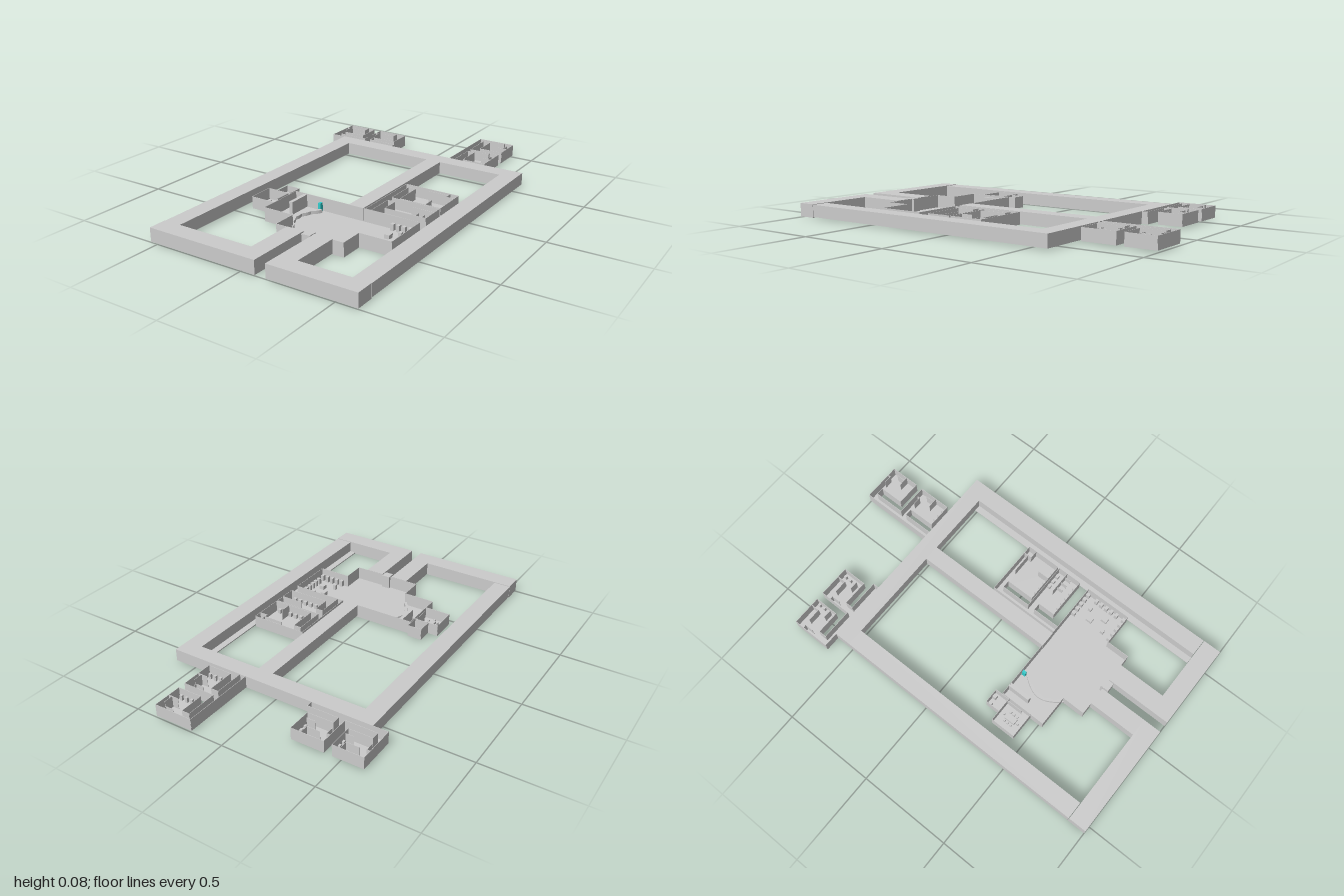
import * as THREE from 'three';

const grey = new THREE.MeshStandardMaterial({ color: 0xcccccc, flatShading: true, side: THREE.DoubleSide });
const cyan = new THREE.MeshStandardMaterial({ color: 0x33cccc });
const TOP = 0.074;

export function createModel() {
  const model = new THREE.Group();
  model.name = 'facility';
  let parent = model;

  const add = (name, geometry, material = grey) => {
    const mesh = new THREE.Mesh(geometry, material);
    mesh.name = name;
    parent.add(mesh);
    return mesh;
  };
  // box given by its plan rectangle and its bottom and top heights
  const block = (name, x0, x1, z0, z1, y0 = 0.009, y1 = TOP, material = grey) =>
    add(name, new THREE.BoxGeometry(x1 - x0, y1 - y0, z1 - z0), material)
      .position.set((x0 + x1) / 2, (y0 + y1) / 2, (z0 + z1) / 2);
  // thin upright wall between two plan points
  const wall = (name, [x0, z0], [x1, z1], y0 = 0.01, y1 = TOP) => {
    const length = Math.hypot(x1 - x0, z1 - z0);
    const mesh = add(name, new THREE.BoxGeometry(length, y1 - y0, 0.002));
    mesh.position.set((x0 + x1) / 2, (y0 + y1) / 2, (z0 + z1) / 2);
    mesh.rotation.y = -Math.atan2(z1 - z0, x1 - x0);
  };
  // flat slab from a plan outline
  const slab = (name, points, y0, height) => {
    const shape = new THREE.Shape(points.map(([x, z]) => new THREE.Vector2(x, -z)));
    const geometry = new THREE.ExtrudeGeometry(shape, { depth: height, bevelEnabled: false });
    add(name, geometry.rotateX(-Math.PI / 2).translate(0, y0, 0));
  };
  // roofless wing: floor with walls along its outline
  const wing = (name, points, y0 = 0.01) => {
    parent = new THREE.Group();
    parent.name = name;
    model.add(parent);
    slab('floor', points, y0, 0.004);
    points.forEach((p, i) => wall('outerWall', p, points[(i + 1) % points.length], y0));
  };
  const furniture = (name, x, z, w, d, h, base = 0.012) =>
    block(name, x - w / 2, x + w / 2, z - d / 2, z + d / 2, base, base + h);

  // roofed corridors forming the outer ring
  block('leftCorridor', -0.54, -0.447, -0.51, 0.9);
  block('backCorridor', -0.54, 0.613, -0.6, -0.51);
  block('rightCorridor', 0.52, 0.613, -0.51, 0.9);
  block('rightLedge', 0.485, 0.52, -0.51, 0.9, 0.009, 0.014);
  block('centreCorridor', 0.075, 0.16, -0.51, 0.27);
  block('frontLeftCorridor', -0.54, 0.08, 0.903, 1, 0.004, 0.076);
  block('frontRightCorridor', 0.14, 0.613, 0.903, 1, 0.004, 0.076);
  block('entryLeftCorridor', -0.016, 0.08, 0.645, 0.903, 0.004, 0.076);
  block('entryRightCorridor', 0.14, 0.24, 0.645, 0.903, 0.004, 0.076);

  // main hall
  wing('hall', [[-0.25, 0.267], [0.475, 0.267], [0.475, 0.52], [0.3, 0.52], [0.3, 0.645],
    [-0.08, 0.645], [-0.08, 0.52], [-0.25, 0.52]], 0);
  block('entrance', 0.088, 0.135, 0.63, 0.675, 0.004, 0.076);
  block('tallCabinet', -0.2, -0.18, 0.267, 0.39, 0.004, 0.07);
  block('screen', -0.096, -0.082, 0.27, 0.29, 0.004, 0.05, cyan);

  // scalloped curved counter
  const outer = [], inner = [];
  for (let i = 0; i <= 40; i++) {
    const t = i / 40, z = 0.29 + 0.24 * t;
    const x = -0.083 - 0.06 * Math.sin(Math.PI * t);
    outer.push([x, z]);
    inner.unshift([x + 0.013 + 0.007 * Math.abs(Math.sin(t * Math.PI * 5)), z]);
  }
  slab('counter', [...outer, ...inner], 0.003, 0.018);

  // hall seating area
  for (let i = 0; i < 5; i++) {
    const s = 0.335 + 0.032 * i;
    furniture('seat', s, 0.279, 0.017, 0.02, 0.035, 0.003);
    furniture('seat', s, 0.509, 0.017, 0.02, 0.035, 0.003);
    furniture('seat', 0.462, s, 0.02, 0.017, 0.035, 0.003);
  }
  for (const [x, z] of [[0.363, 0.365], [0.41, 0.428]])
    furniture('table', x, z, 0.028, 0.032, 0.022, 0.003);
  for (const [x, z] of [[0.41, 0.333], [0.347, 0.457]])
    furniture('pedestal', x, z, 0.018, 0.018, 0.03, 0.003);

  // meeting rooms on the hall's side
  wing('meetingRoom', [[-0.39, 0.31], [-0.25, 0.31], [-0.25, 0.445], [-0.39, 0.445]]);
  furniture('meetingTable', -0.32, 0.375, 0.03, 0.06, 0.022);
  for (const side of [-1, 1]) {
    for (let i = -1; i <= 1; i++)
      furniture('chair', -0.32 + side * 0.026, 0.375 + i * 0.02, 0.01, 0.01, 0.022);
    furniture('chair', -0.32, 0.375 + side * 0.043, 0.01, 0.01, 0.022);
  }
  wall('partition', [-0.265, 0.31], [-0.265, 0.4]);
  wing('sideRoom', [[-0.335, 0.23], [-0.257, 0.23], [-0.257, 0.31], [-0.335, 0.31]]);
  furniture('cabinet', -0.28, 0.242, 0.022, 0.02, 0.035);
  furniture('cabinet', -0.323, 0.245, 0.02, 0.02, 0.03);

  // inner room block
  wing('innerRooms', [[0.172, 0.267], [0.172, -0.125], [0.475, -0.125], [0.475, 0.065], [0.247, 0.065],
    [0.247, -0.09], [0.205, -0.09], [0.205, 0.075], [0.475, 0.075], [0.475, 0.21], [0.247, 0.21],
    [0.247, 0.115], [0.205, 0.115], [0.205, 0.267]]);
  wall('partition', [0.32, -0.1], [0.43, -0.1]);
  wall('partition', [0.43, -0.125], [0.43, -0.08]);
  wall('partition', [0.43, -0.08], [0.475, -0.08]);
  wall('partition', [0.39, 0], [0.39, 0.065]);
  wall('partition', [0.35, 0.127], [0.475, 0.127]);
  for (let i = 0; i < 6; i++) {
    const x = 0.27 + i * 0.035;
    furniture('desk', x, 0.055, 0.018, 0.016, 0.025);
    furniture('desk', x, 0.2, 0.018, 0.016, 0.025);
    if (i > 2) furniture('desk', x, 0.087, 0.018, 0.016, 0.025);
    if (i > 2) wall('divider', [x + 0.015, 0.127], [x + 0.015, 0.16], 0.01, 0.05);
  }

  // back right annex
  wing('backRightAnnex', [[0.172, -0.6], [0.172, -1], [0.38, -1], [0.38, -0.84], [0.247, -0.84],
    [0.247, -0.97], [0.205, -0.97], [0.205, -0.8], [0.38, -0.8], [0.38, -0.62], [0.247, -0.62],
    [0.247, -0.765], [0.205, -0.765], [0.205, -0.6]]);
  for (const z of [-1, -0.79]) {
    wall('partition', [0.285, z + 0.015], [0.33, z + 0.015]);
    wall('partition', [0.33, z], [0.33, z + 0.015]);
    wall('partition', [0.325, z + 0.09], [0.38, z + 0.09]);
    wall('partition', [0.36, z + 0.04], [0.36, z + 0.09]);
    for (let i = 0; i < 4; i++) furniture('locker', 0.265 + i * 0.032, z + 0.151, 0.014, 0.012, 0.03);
  }

  // back left annex
  wing('backLeftAnnex', [[-0.21, -0.6], [-0.62, -0.6], [-0.62, -0.807], [-0.458, -0.807], [-0.458, -0.675],
    [-0.585, -0.675], [-0.585, -0.633], [-0.415, -0.633], [-0.415, -0.807], [-0.24, -0.807],
    [-0.24, -0.675], [-0.38, -0.675], [-0.38, -0.633], [-0.21, -0.633]]);
  for (const x of [-0.62, -0.415]) {
    wall('partition', [x + 0.018, -0.755], [x + 0.018, -0.71]);
    wall('partition', [x, -0.755], [x + 0.018, -0.755]);
    wall('partition', [x + 0.05, -0.76], [x + 0.12, -0.76]);
    wall('partition', [x + 0.12, -0.807], [x + 0.12, -0.76]);
    wall('partition', [x + 0.11, -0.71], [x + 0.155, -0.71]);
    for (let i = 0; i < 4; i++) furniture('locker', x + 0.153, -0.79 + i * 0.032, 0.012, 0.014, 0.03);
  }
  return model;
}
